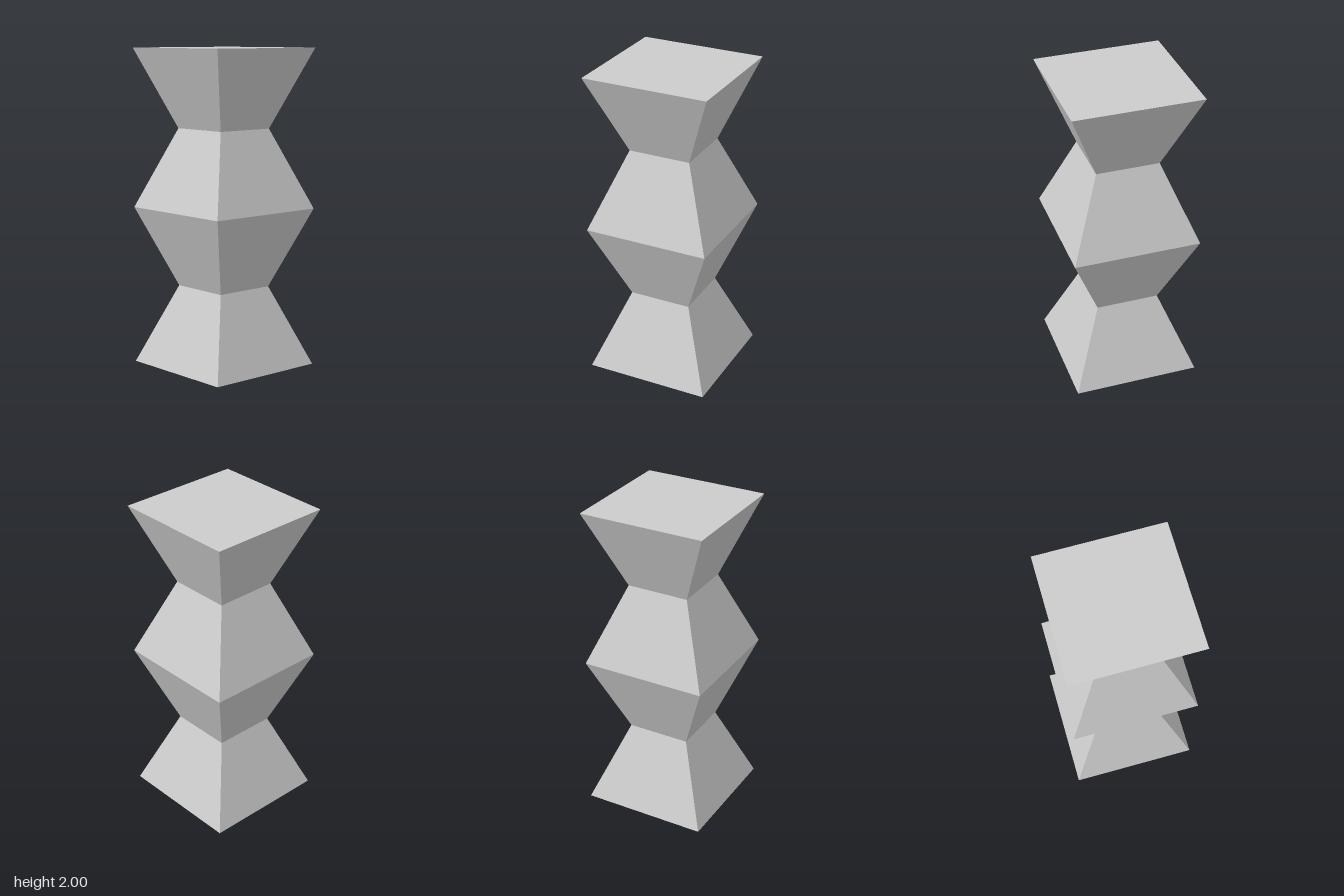
import * as THREE from 'three';

const WIDE = 0.4;     // half width at the base, middle and top
const NARROW = 0.2;   // half width at the two waists
const STEP = 0.5;     // height of each tapered section
const SECTIONS = 4;

export function createModel() {
  const model = new THREE.Group();
  model.name = 'zigzagColumn';

  // Profile from the bottom centre to the top centre, alternating wide and narrow
  const profile = [new THREE.Vector2(0, 0)];
  for (let i = 0; i <= SECTIONS; i++) {
    const half = i % 2 === 0 ? WIDE : NARROW;
    profile.push(new THREE.Vector2(half * Math.SQRT2, i * STEP));
  }
  profile.push(new THREE.Vector2(0, SECTIONS * STEP));

  // Four turns starting on the diagonal give a square column
  const column = new THREE.Mesh(
    new THREE.LatheGeometry(profile, 4, Math.PI / 4),
    new THREE.MeshStandardMaterial({ color: 0xcccccc, flatShading: true })
  );
  column.name = 'column';
  model.add(column);
  return model;
}
